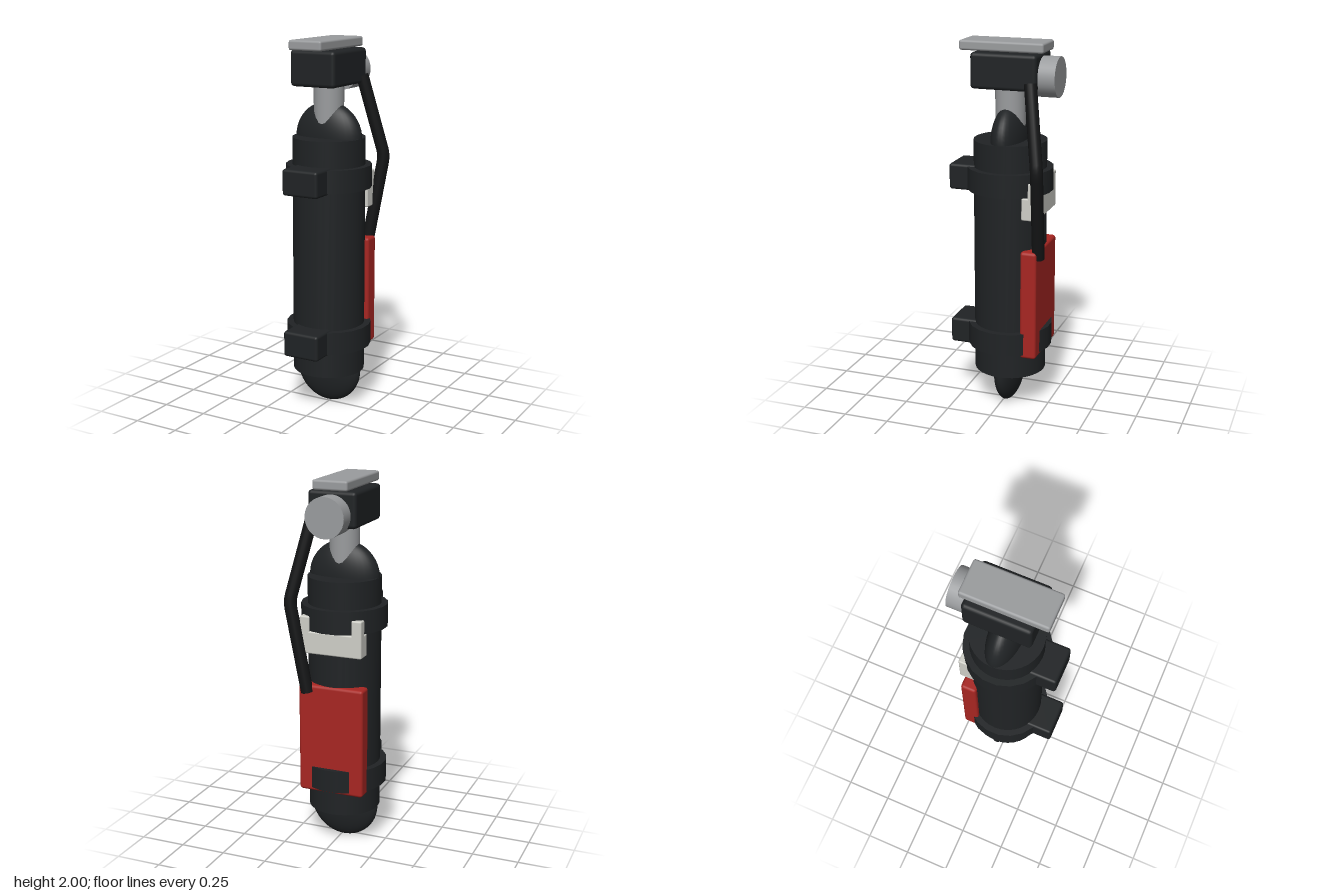
import * as THREE from 'three';
import { RoundedBoxGeometry } from 'three/addons/geometries/RoundedBoxGeometry.js';

const AX = -0.014, AZ = -0.022; // bottle axis

export function createModel() {
  const group = new THREE.Group();
  const mat = (color) => new THREE.MeshStandardMaterial({ color });
  const black = mat(0x202325), rubber = mat(0x141516), red = mat(0xa82622);
  const white = mat(0xcfcfc8), steel = mat(0x9a9c9e);

  const add = (name, geometry, material, x = 0, y = 0, z = 0) => {
    const mesh = new THREE.Mesh(geometry, material);
    mesh.name = name;
    mesh.position.set(x, y, z);
    group.add(mesh);
    return mesh;
  };
  // Rounded box given by its limits on each axis
  const box = (name, material, [x0, x1], [y0, y1], [z0, z1], r = 0.015) =>
    add(name, new RoundedBoxGeometry(x1 - x0, y1 - y0, z1 - z0, 2, r), material,
      (x0 + x1) / 2, (y0 + y1) / 2, (z0 + z1) / 2);
  // Upright cylinder on the bottle axis
  const drum = (name, material, r, y0, y1, sides) =>
    add(name, new THREE.CylinderGeometry(r, r, y1 - y0, sides), material, AX, (y0 + y1) / 2, AZ);

  // Bottle: cylinder with flattened domes at both ends
  drum('bottle', black, 0.194, 0.2, 1.485, 32);
  const dome = (name, y, height, depth, start) => {
    const geo = new THREE.SphereGeometry(1, 32, 12, 0, Math.PI * 2, start, Math.PI / 2);
    add(name, geo, black, AX, y, AZ).scale.set(0.194, height, depth);
  };
  dome('bottomDome', 0.2, 0.197, 0.068, Math.PI / 2);
  dome('topDome', 1.48, 0.19, 0.088, 0);

  // Straps with front clamps
  for (const [name, y] of [['lower', 0.405], ['upper', 1.28]]) {
    drum(name + 'Strap', black, 0.229, y - 0.061, y + 0.061, 20).rotation.y = Math.PI / 20;
    box(name + 'Clamp', black, [-0.118, 0.09], [y - 0.07, y + 0.07], [0.13, 0.288]);
  }

  // Neck, valve block, top lever and round gauge
  drum('neck', steel, 0.08, 1.5, 1.8, 24);
  box('valveBlock', black, [-0.146, 0.116], [1.758, 1.945], [-0.2, 0.156], 0.02);
  box('topLever', steel, [-0.11, 0.08], [1.948, 2], [-0.226, 0.228], 0.012);
  add('gauge', new THREE.CylinderGeometry(0.105, 0.105, 0.14, 32), steel, AX, 1.823, -0.22)
    .rotation.x = Math.PI / 2;

  // Hose: two straight runs joined by a short bend
  const top = new THREE.Vector3(0.105, 1.8, -0.168);
  const elbow = new THREE.Vector3(0.205, 1.37, -0.236);
  const end = new THREE.Vector3(0.117, 0.885, -0.222);
  const a = elbow.clone().lerp(top, 0.08), b = elbow.clone().lerp(end, 0.08);
  const path = new THREE.CurvePath();
  path.add(new THREE.LineCurve3(top, a));
  path.add(new THREE.QuadraticBezierCurve3(a, elbow, b));
  path.add(new THREE.LineCurve3(b, end));
  add('hose', new THREE.TubeGeometry(path, 48, 0.033, 16), rubber);
  const ends = [[top, elbow], [end, elbow]];
  for (const [p, from] of ends) {
    const cap = add('hoseEnd', new THREE.CircleGeometry(0.033, 16), rubber, p.x, p.y, p.z);
    cap.lookAt(p.clone().multiplyScalar(2).sub(from));
  }

  // Red back plate
  box('backPlate', red, [-0.195, 0.167], [0.325, 0.925], [-0.224, -0.135], 0.016);

  // White wall bracket: bar with an upright prong at each end
  box('bracketBar', white, [-0.186, 0.158], [1.095, 1.215], [-0.222, -0.138], 0.008);
  for (const s of [-1, 1]) {
    const x = AX + s * 0.144;
    box('bracketProng', white, [x - 0.028, x + 0.028], [1.15, 1.295], [-0.222, -0.172], 0.008);
  }
  return group;
}
